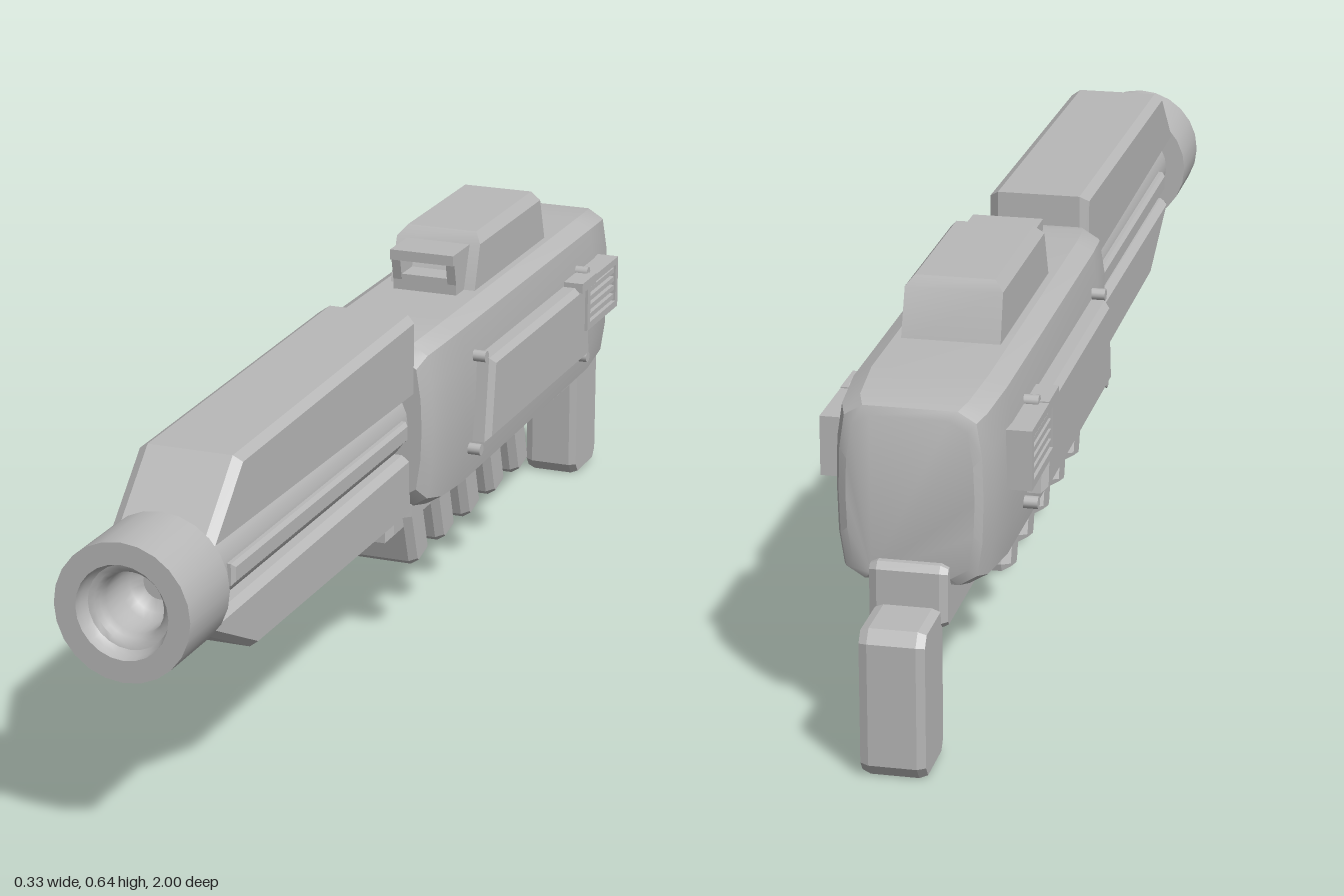
import * as THREE from 'three';
import { toCreasedNormals } from 'three/addons/utils/BufferGeometryUtils.js';

const grey = new THREE.MeshStandardMaterial({ color: 0xb8b8b8 });
grey.name = 'plain grey';

// Side profile given as [z, y] points, extruded across x and chamfered.
function profile(points, halfWidth, bevel, cornerBevel = bevel, holes = []) {
  const toV = (p) => new THREE.Vector2(p[0], p[1]);
  const shape = new THREE.Shape(points.map(toV));
  for (const h of holes) shape.holes.push(new THREE.Path(h.map(toV)));
  const depth = 2 * (halfWidth - bevel);
  const geo = new THREE.ExtrudeGeometry(shape, {
    depth, bevelEnabled: bevel > 0, bevelThickness: bevel, bevelSize: cornerBevel,
    bevelOffset: -cornerBevel, bevelSegments: 1, curveSegments: 6,
  });
  geo.translate(0, 0, -depth / 2);
  geo.rotateY(-Math.PI / 2);
  return geo;
}

const rect = (z0, z1, y0, y1) => [[z0, y0], [z1, y0], [z1, y1], [z0, y1]];

// Skin over rings of equal length, ordered from back to front.
function loft(rings) {
  const n = rings[0].length, pos = [], idx = [];
  rings.forEach((r) => r.forEach((p) => pos.push(...p)));
  for (let s = 0; s < rings.length - 1; s++) {
    for (let i = 0; i < n; i++) {
      const a = s * n + i, b = s * n + (i + 1) % n;
      idx.push(a, b, b + n, a, b + n, a + n);
    }
  }
  const f = (rings.length - 1) * n;
  for (let i = 1; i < n - 1; i++) {
    idx.push(0, i + 1, i, f, f + i, f + i + 1);
  }
  const geo = new THREE.BufferGeometry();
  geo.setAttribute('position', new THREE.Float32BufferAttribute(pos, 3));
  geo.setIndex(idx);
  return toCreasedNormals(geo, 0.5);
}

export function createModel() {
  const model = new THREE.Group();
  model.name = 'blaster';
  const add = (name, geo, x = 0, y = 0, z = 0, parent = model) => {
    const m = new THREE.Mesh(geo, grey);
    m.name = name;
    m.position.set(x, y, z);
    parent.add(m);
    return m;
  };
  const axisY = 0.405;

  // Muzzle ring with a rounded lip and a hollow, domed bore
  const bore = [[0, 0.86], [0.11, 0.86], [0.11, 1], [0.075, 1], [0.073, 0.985],
    [0.067, 0.975], [0.058, 0.972], [0.052, 0.965], [0.05, 0.95], [0.05, 0.9],
    [0.043, 0.882], [0.025, 0.869], [0, 0.864]];
  const muzzle = new THREE.LatheGeometry(bore.map((p) => new THREE.Vector2(...p)), 24);
  muzzle.rotateX(Math.PI / 2);
  add('muzzle', toCreasedNormals(muzzle, 0.7), 0, axisY, 0);

  // Barrel core between the shrouds
  const barrel = new THREE.CylinderGeometry(0.075, 0.075, 0.85, 24);
  barrel.rotateX(Math.PI / 2);
  add('barrel', barrel, 0, axisY, 0.445);

  // Upper and lower shrouds
  add('upperShroud', profile([[0.045, 0.45], [0.73, 0.46], [0.865, 0.462],
    [0.865, 0.475], [0.755, 0.578], [0.045, 0.592]], 0.085, 0.015, 0.01));
  add('lowerShroud', profile([[0.045, 0.24], [0.69, 0.245], [0.865, 0.33],
    [0.865, 0.345], [0.045, 0.35]], 0.078, 0.013, 0.01));

  // Main body: softly boxed sections, narrowing at both ends
  const section = ([z, w, low, high]) => {
    const mid = (low + high) / 2, t = 0.017;
    const half = [[w - 0.038, low], [w - 0.01, low + t], [w - 0.002, low + 0.07], [w, mid],
      [w - 0.002, high - 0.07], [w - 0.01, high - t], [w - 0.038, high]];
    const other = half.map(([x, y]) => [-x, y]).reverse();
    return [...half, ...other].map(([x, y]) => [x, y, z]);
  };
  add('body', loft([
    [-0.875, 0.098, 0.275, 0.525], [-0.868, 0.11, 0.264, 0.538], [-0.84, 0.12, 0.257, 0.545],
    [-0.74, 0.128, 0.25, 0.552], [-0.08, 0.128, 0.244, 0.552], [0.0, 0.124, 0.247, 0.549],
    [0.04, 0.113, 0.255, 0.54], [0.058, 0.1, 0.275, 0.52],
  ].map(section)));

  // Sight: tapered housing and a hooded window in front
  const housing = (y, w, z0, z1) => [[w, y, 0], [w, y, 0], [-w, y, 0], [-w, y, 0]]
    .map(([x, h], i) => [x, h, i === 0 || i === 3 ? z0 : z1]);
  const sight = loft([housing(0.545, 0.078, -0.245, -0.607), housing(0.628, 0.077, -0.275, -0.582),
    housing(0.645, 0.063, -0.293, -0.572)]);
  add('sightHousing', sight);
  add('sightHood', profile([[-0.3, 0.608], [-0.195, 0.608], [-0.195, 0.626], [-0.3, 0.626]], 0.058, 0));
  add('sightFloor', profile(rect(-0.3, -0.21, 0.545, 0.58), 0.058, 0));
  for (const s of [-1, 1]) {
    add('sightCheek', profile([[-0.3, 0.57], [-0.21, 0.57], [-0.2, 0.612], [-0.3, 0.612]], 0.008, 0), s * 0.05);
  }

  for (const s of [-1, 1]) {
    const side = new THREE.Group();
    side.name = s > 0 ? 'leftSide' : 'rightSide';
    model.add(side);
    const put = (name, geo, x, y = 0, z = 0) => add(name, geo, s * x, y, z, side);

    // Rail along the barrel
    put('barrelRail', profile(rect(0.08, 0.79, 0.383, 0.418), 0.012, 0.006), 0.074);

    // Slanted cover plate
    put('coverPlate', profile([[-0.64, 0.328], [-0.113, 0.328], [-0.133, 0.473], [-0.62, 0.473]],
      0.021, 0.01), 0.137);

    // Vent frame, slats and clamp
    put('ventFrame', profile(rect(-0.775, -0.605, 0.385, 0.48), 0.021, 0, 0,
      [rect(-0.762, -0.62, 0.398, 0.467)]), 0.142);
    put('ventBack', profile(rect(-0.77, -0.61, 0.39, 0.475), 0.012, 0), 0.136);
    for (let i = 0; i < 4; i++) {
      put('ventSlat', new THREE.BoxGeometry(0.02, 0.009, 0.142), 0.15, 0.407 + i * 0.0165, -0.691);
    }
    put('ventClamp', profile(rect(-0.65, -0.575, 0.464, 0.482), 0.018, 0), 0.145);

    // Screws at the plate corners
    for (const [z, y] of [[-0.122, 0.479], [-0.1, 0.319], [-0.655, 0.319], [-0.65, 0.482]]) {
      const screw = new THREE.CylinderGeometry(0.01, 0.01, 0.05, 12);
      screw.rotateZ(Math.PI / 2);
      put('screw', screw, 0.123, y, z);
    }
  }

  // Rail under the body with five slanted fins
  add('underRail', profile(rect(-0.57, 0.1, 0.205, 0.27), 0.063, 0.012));
  for (let i = 0; i < 5; i++) {
    add('coolingFin', profile([[0.052, 0.265], [0.05, 0.235], [0.022, 0.147], [0.012, 0.139],
      [-0.036, 0.15], [-0.039, 0.162], [-0.012, 0.25], [-0.012, 0.265]], 0.077, 0.014, 0.008),
      0, 0, -i * 0.125);
  }

  // Arm carrying the rear grip
  add('gripArm', profile([[-0.895, 0.21], [-0.885, 0.2], [-0.665, 0.2], [-0.655, 0.21], [-0.655, 0.265],
    [-0.83, 0.265], [-0.84, 0.3], [-0.885, 0.3], [-0.895, 0.29]], 0.06, 0.012, 0.006));
  add('rearGrip', profile([[-0.985, 0], [-0.895, 0], [-0.88, 0.02], [-0.88, 0.235], [-0.985, 0.235],
    [-1, 0.215], [-1, 0.02]], 0.05, 0.013, 0.005));

  return model;
}
